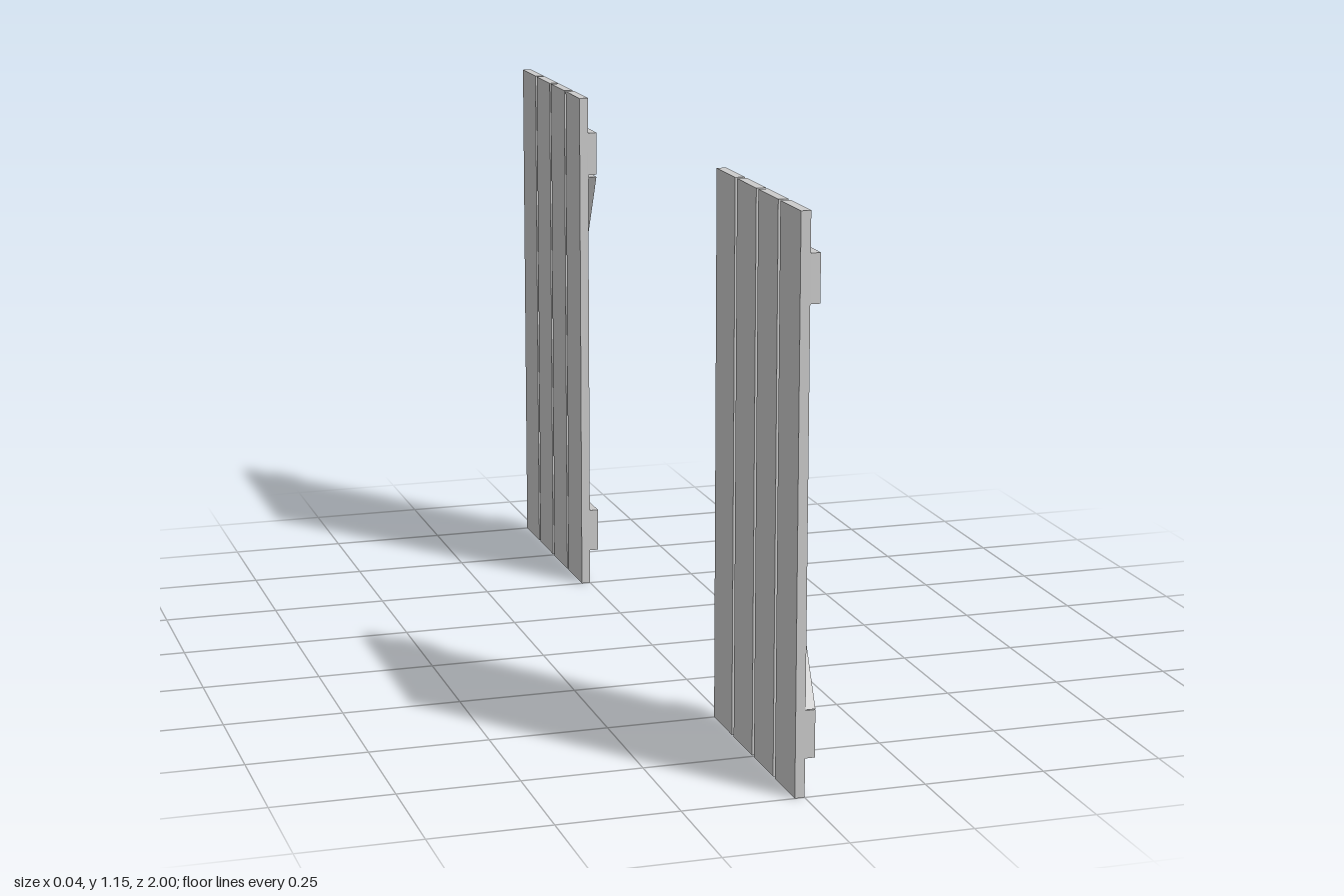
import * as THREE from 'three';

const H = 1.15, W = 0.5, T = 0.02;          // shutter height, width, timber thickness
const BOARD = 0.116, PITCH = (W - BOARD) / 3;
const material = new THREE.MeshStandardMaterial({ color: 0xcccccc, flatShading: true });

function box(name, x, y, z, w, h, d) {
  const mesh = new THREE.Mesh(new THREE.BoxGeometry(w, h, d), material);
  mesh.name = name;
  mesh.position.set(x, y, z);
  return mesh;
}

// One shutter; side = +1 (front) or -1 (back), mirrored across z = 0
function makeShutter(side) {
  const shutter = new THREE.Group();
  shutter.name = side > 0 ? 'frontShutter' : 'backShutter';

  // Vertical boards with narrow gaps
  for (let i = 0; i < 4; i++) {
    const z = 0.5 + BOARD / 2 + i * PITCH;
    shutter.add(box('board', -T / 2, H / 2, side * z, T, H, BOARD));
  }

  // Horizontal rails
  shutter.add(box('bottomRail', T / 2, 0.128, side * 0.75, T, 0.097, W));
  shutter.add(box('topRail', T / 2, 1.021, side * 0.75, T, 0.097, W));

  // Diagonal brace with ends cut level; shape x runs along -z after the turn
  const outline = [[1, 0.178], [0.88, 0.178], [0.502, 0.967], [0.62, 0.967]]
    .map(([z, y]) => new THREE.Vector2(-side * z, y));
  const geometry = new THREE.ExtrudeGeometry(new THREE.Shape(outline), { depth: T, bevelEnabled: false });
  geometry.rotateY(Math.PI / 2);
  const brace = new THREE.Mesh(geometry, material);
  brace.name = 'diagonalBrace';
  shutter.add(brace);
  return shutter;
}

export function createModel() {
  const model = new THREE.Group();
  model.name = 'shutters';
  model.add(makeShutter(1), makeShutter(-1));
  return model;
}
